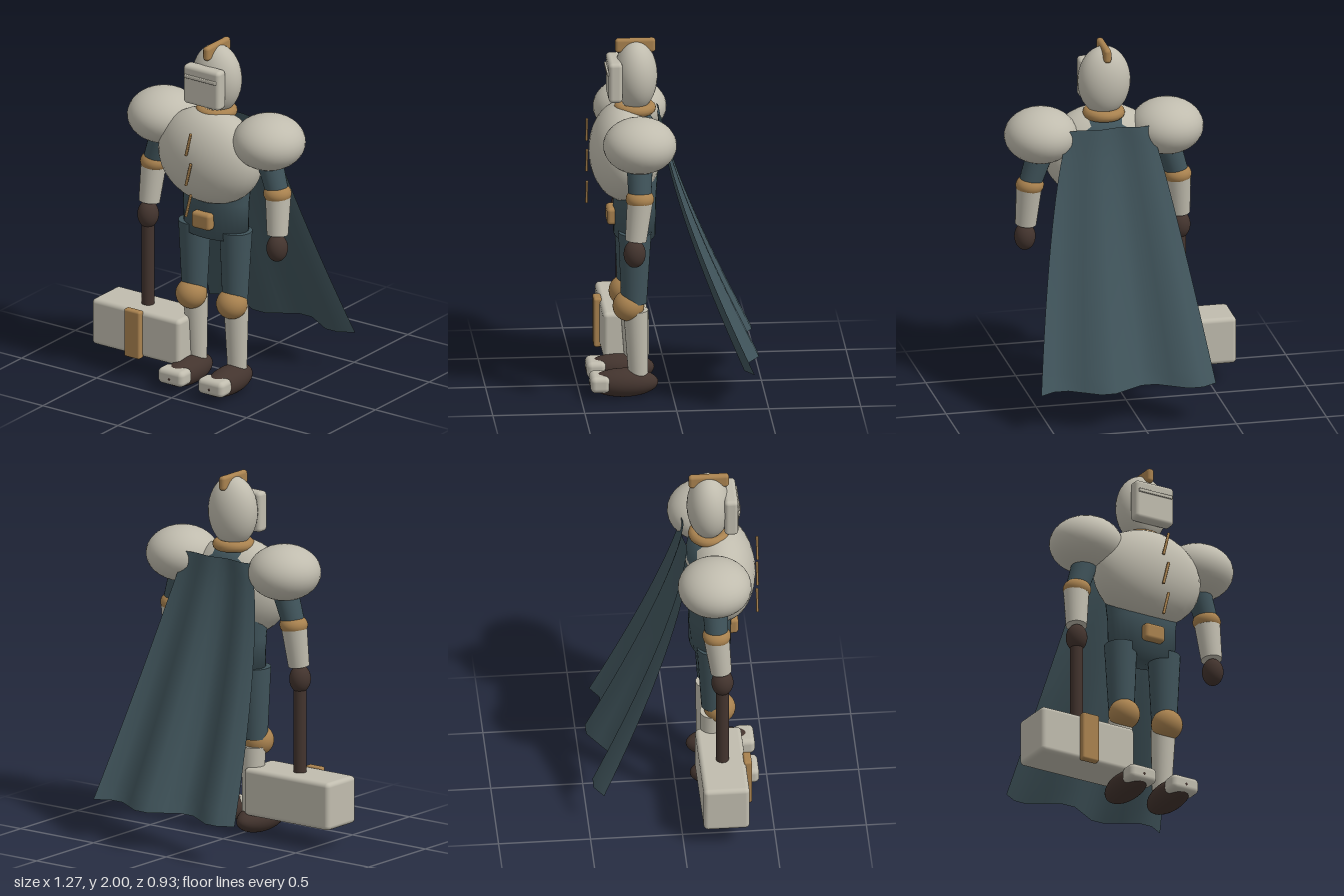
import * as THREE from 'three';
import { RoundedBoxGeometry } from 'three/addons/geometries/RoundedBoxGeometry.js';

const material = (name, color) => {
  const m = new THREE.MeshStandardMaterial({ color });
  m.name = name;
  return m;
};

export function createModel() {
  const steel = material('steel', 0xc0bcae);
  const brass = material('brass', 0xa9824f);
  const cloth = material('cloth', 0x40545b);
  const leather = material('leather', 0x43342e);
  const capeCloth = material('capeCloth', 0x40545b);
  capeCloth.side = THREE.DoubleSide;

  const model = new THREE.Group();
  model.name = 'armouredKnight';
  // The figure stands a little to one side to make room for the hammer
  const figure = new THREE.Group();
  figure.name = 'figure';
  figure.position.x = 0.08;
  model.add(figure);

  const add = (name, geometry, mat, position, parent = figure) => {
    const mesh = new THREE.Mesh(geometry, mat);
    mesh.name = name;
    mesh.position.set(...position);
    parent.add(mesh);
    return mesh;
  };
  const ellipsoid = (name, mat, position, radii, parent) =>
    add(name, new THREE.SphereGeometry(1, 32, 20).scale(...radii), mat, position, parent);
  const box = (name, mat, position, size, radius, parent) =>
    add(name, new RoundedBoxGeometry(...size, 3, radius), mat, position, parent);
  // Tapered limb from an upper point to a lower point
  const limb = (name, mat, top, bottom, rTop, rBottom, parent) => {
    const a = new THREE.Vector3(...top), b = new THREE.Vector3(...bottom);
    const dir = a.clone().sub(b);
    const mid = a.clone().add(b).multiplyScalar(0.5);
    const mesh = add(name, new THREE.CylinderGeometry(rTop, rBottom, dir.length(), 24), mat, mid.toArray(), parent);
    mesh.quaternion.setFromUnitVectors(new THREE.Vector3(0, 1, 0), dir.normalize());
    return mesh;
  };

  // Torso: a lathe flattened from front to back
  const torsoProfile = [[0, 0.895], [0.2, 0.895], [0.205, 1.1], [0.235, 1.35], [0.22, 1.5], [0.12, 1.58], [0, 1.59]]
    .map(([r, y]) => new THREE.Vector2(r, y));
  add('torso', new THREE.LatheGeometry(torsoProfile, 32).scale(1, 1, 0.57), cloth, [0, 0, 0.197]);
  ellipsoid('breastplate', steel, [0, 1.36, 0.25], [0.32, 0.27, 0.195]);
  box('beltBuckle', brass, [0, 1.002, 0.32], [0.125, 0.096, 0.06], 0.02);
  for (const y of [1.485, 1.31, 1.13]) {
    const clasp = box('chestClasp', brass, [0, y, 0.456], [0.015, 0.14, 0.014], 0.005);
    clasp.rotation.z = -0.24;
  }

  // Collar and helmet
  add('collar', new THREE.TorusGeometry(0.085, 0.03, 12, 32).rotateX(Math.PI / 2), brass, [0, 1.605, 0.195]);
  ellipsoid('helmet', steel, [0, 1.79, 0.19], [0.145, 0.195, 0.118]);
  box('visor', steel, [0, 1.778, 0.307], [0.24, 0.225, 0.075], 0.022);
  box('visorRidge', steel, [0, 1.828, 0.347], [0.21, 0.02, 0.015], 0.005);
  box('crest', brass, [0, 1.96, 0.192], [0.04, 0.08, 0.22], 0.018);

  // Arms and legs, one set for each side
  for (const s of [-1, 1]) {
    const arm = new THREE.Group();
    arm.name = s > 0 ? 'leftArm' : 'rightArm';
    figure.add(arm);
    ellipsoid('pauldron', steel, [s * 0.35, 1.5, 0.195], [0.2, 0.152, 0.2], arm);
    limb('upperArm', cloth, [s * 0.33, 1.47, 0.195], [s * 0.41, 1.22, 0.2], 0.075, 0.062, arm);
    ellipsoid('elbow', brass, [s * 0.41, 1.215, 0.2], [0.077, 0.058, 0.077], arm);
    limb('vambrace', steel, [s * 0.413, 1.215, 0.198], [s * 0.427, 0.985, 0.223], 0.071, 0.058, arm);
    ellipsoid('glove', leather, [s * 0.43, 0.91, 0.23], [0.058, 0.077, 0.06], arm);

    const leg = new THREE.Group();
    leg.name = s > 0 ? 'leftLeg' : 'rightLeg';
    figure.add(leg);
    limb('thigh', cloth, [s * 0.137, 0.94, 0.205], [s * 0.135, 0.54, 0.21], 0.09, 0.07, leg);
    ellipsoid('kneeCap', brass, [s * 0.135, 0.52, 0.24], [0.086, 0.084, 0.086], leg);
    limb('greave', steel, [s * 0.135, 0.495, 0.2], [s * 0.133, 0.12, 0.187], 0.068, 0.053, leg);
    ellipsoid('boot', leather, [s * 0.133, 0.083, 0.265], [0.086, 0.078, 0.187], leg);
    box('toeCap', steel, [s * 0.133, 0.09, 0.397], [0.168, 0.09, 0.106], 0.028, leg);
  }

  // Cape: a sheet that widens, sweeps back and ripples towards the hem
  const cape = new THREE.PlaneGeometry(1, 1, 12, 16);
  const p = cape.attributes.position;
  for (let i = 0; i < p.count; i++) {
    const u = p.getX(i), t = 0.5 - p.getY(i);
    const halfWidth = 0.22 + 0.265 * Math.pow(t, 0.75);
    const ripple = 0.057 * (0.15 + 0.85 * t) * Math.sin((u + 0.5) * Math.PI * 4);
    p.setXYZ(i, u * 2 * halfWidth, 1.555 - 1.335 * t, 0.06 - 0.478 * Math.pow(t, 1.3) - ripple);
  }
  cape.computeVertexNormals();
  add('cape', cape, capeCloth, [0, 0, 0]);

  // War hammer resting on its head under the right hand
  const hammer = new THREE.Group();
  hammer.name = 'hammer';
  hammer.position.set(-0.35, 0, 0.23);
  model.add(hammer);
  limb('hammerHandle', leather, [0, 0.93, 0], [0, 0.3, 0], 0.035, 0.035, hammer);
  box('hammerHead', steel, [0.002, 0.257, 0], [0.585, 0.265, 0.25], 0.025, hammer);
  box('hammerBand', brass, [0, 0.257, 0.135], [0.105, 0.277, 0.044], 0.012, hammer);

  return model;
}
